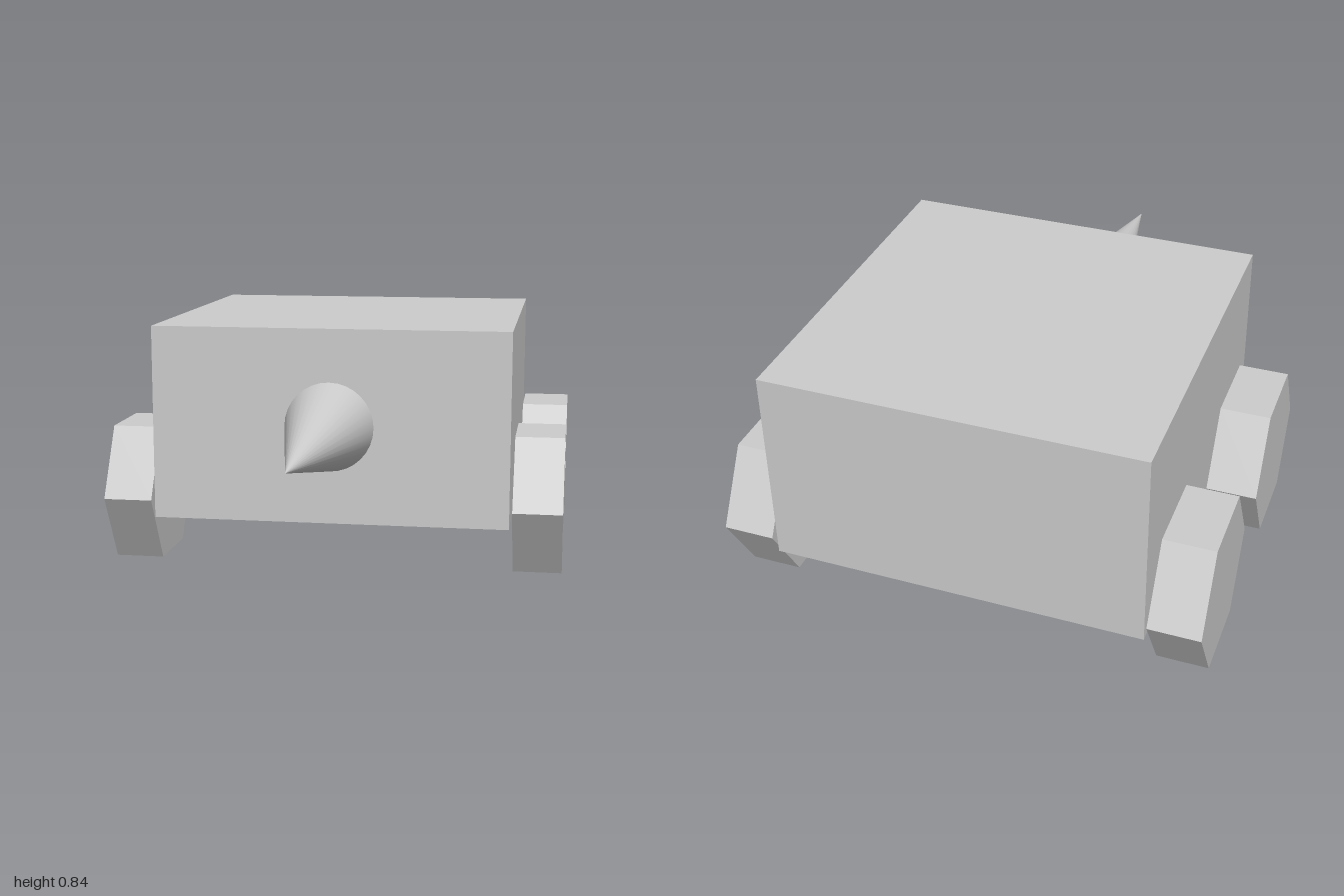
import * as THREE from 'three';

export function createModel() {
  const model = new THREE.Group();
  model.name = 'hornedCart';
  const grey = new THREE.MeshStandardMaterial({ color: 0xcccccc });
  grey.name = 'light grey';

  const add = (name, geometry, x, y, z) => {
    const mesh = new THREE.Mesh(geometry, grey);
    mesh.name = name;
    mesh.position.set(x, y, z);
    model.add(mesh);
  };

  // Box body
  add('body', new THREE.BoxGeometry(1.22, 0.665, 1.22), 0, 0.508, -0.376);

  // Pointed spike on the front face
  const spike = new THREE.ConeGeometry(0.152, 0.766, 32).rotateX(Math.PI / 2);
  add('spike', spike, 0, 0.508, 0.617);

  // Four hexagonal wheels standing on a flat side
  const radius = 0.272;
  const wheel = new THREE.CylinderGeometry(radius, radius, 0.168, 6).toNonIndexed();
  wheel.rotateZ(Math.PI / 2);
  wheel.computeVertexNormals();
  for (const [side, x] of [['left', 0.704], ['right', -0.704]]) {
    for (const [end, z] of [['Front', -0.025], ['Rear', -0.728]]) {
      add(`${side}${end}Wheel`, wheel, x, radius * Math.cos(Math.PI / 6), z);
    }
  }
  return model;
}
